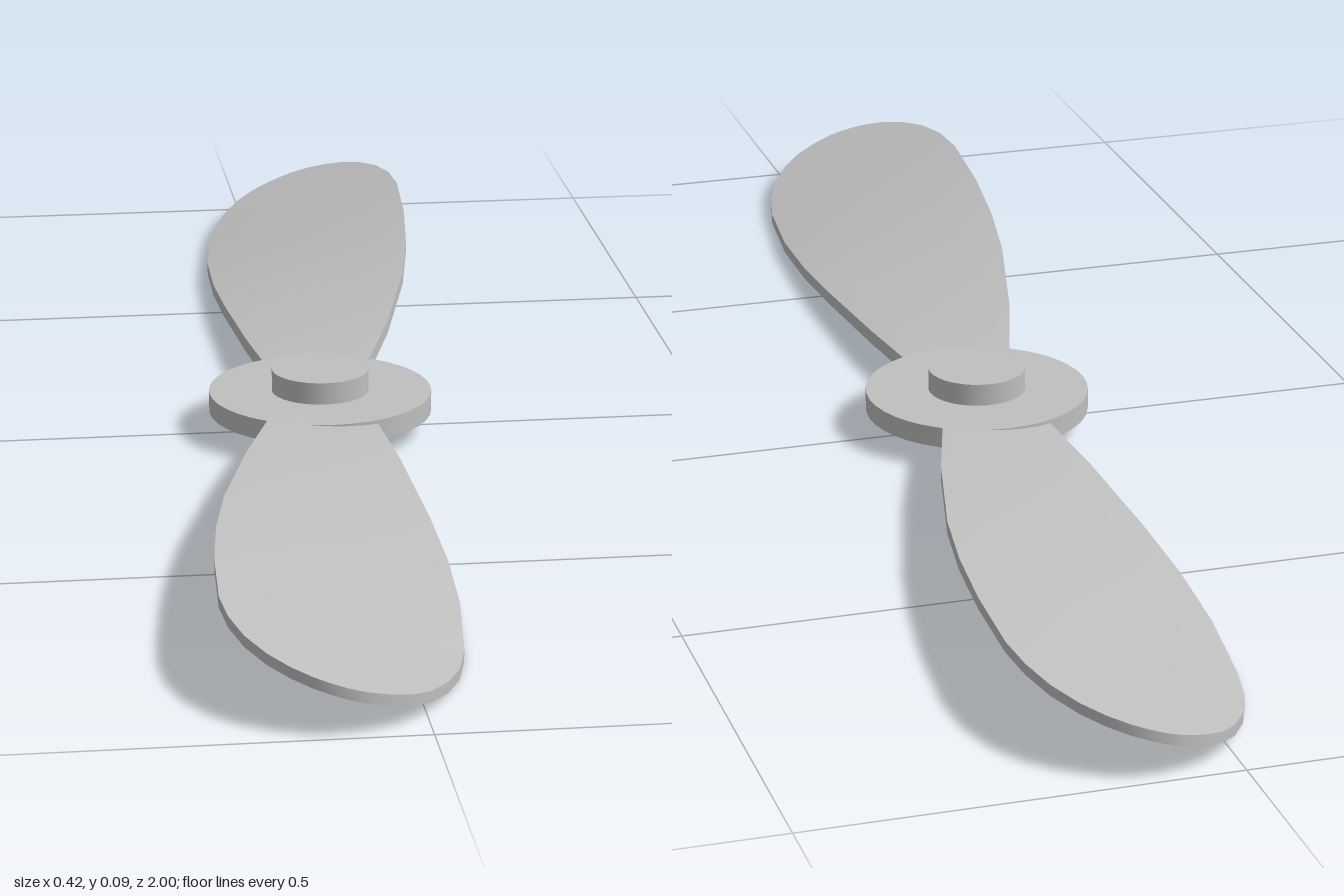
import * as THREE from 'three';
import { mergeGeometries } from 'three/addons/utils/BufferGeometryUtils.js';

// blade outline: z, left edge x, right edge x
const OUTLINE = [
  [0.08, -0.066, 0.05], [0.12, -0.08, 0.056], [0.25, -0.12, 0.068], [0.43, -0.165, 0.078],
  [0.55, -0.186, 0.081], [0.67, -0.2, 0.077], [0.8, -0.208, 0.062], [0.86, -0.204, 0.048],
  [0.91, -0.192, 0.028], [0.95, -0.172, 0.004], [0.975, -0.15, -0.02], [0.99, -0.128, -0.046],
  [0.997, -0.11, -0.065], [1.0, -0.094, -0.079],
];
const ACROSS = 6;

// a point on the blade; side is 1 for the upper face, -1 for the lower
function bladePoint(row, t, side) {
  const [z, left, right] = OUTLINE[row];
  const x = left + (right - left) * t;
  const twist = Math.min(0.29, 0.05 + 0.34 * (z - 0.12));
  const middle = z < 0.8 ? (left + right) / 2 : -0.073;
  const thickness = 0.02 - 0.007 * Math.min(1, z / 0.8);
  return [x, 0.043 + 0.004 * z - twist * (x - middle) + side * thickness / 2, z];
}

// grid of points joined into smooth quads
function surface(rows, flip) {
  const n = rows[0].length;
  const index = [];
  for (let i = 0; i < rows.length - 1; i++) {
    for (let j = 0; j < n - 1; j++) {
      const a = i * n + j, b = a + n, c = a + 1, d = b + 1;
      if (flip) index.push(a, c, b, c, d, b);
      else index.push(a, b, c, c, b, d);
    }
  }
  const g = new THREE.BufferGeometry();
  g.setAttribute('position', new THREE.Float32BufferAttribute(rows.flat(2), 3));
  g.setIndex(index);
  g.computeVertexNormals();
  return g;
}

function bladeGeometry() {
  const face = (side) => surface(OUTLINE.map((_, i) =>
    Array.from({ length: ACROSS + 1 }, (_, j) => bladePoint(i, j / ACROSS, side))), side < 0);
  // rim runs up the left edge, round the tip and down the right edge
  const rim = [];
  OUTLINE.forEach((_, i) => rim.push([bladePoint(i, 0, -1), bladePoint(i, 0, 1)]));
  for (let i = OUTLINE.length - 1; i >= 0; i--) rim.push([bladePoint(i, 1, -1), bladePoint(i, 1, 1)]);
  return mergeGeometries([face(1), face(-1), surface(rim, false)]);
}

export function createModel() {
  const group = new THREE.Group();
  const grey = new THREE.MeshStandardMaterial({ color: 0xbfbfbf });
  grey.name = 'light grey';

  const add = (name, geometry, y = 0) => {
    const mesh = new THREE.Mesh(geometry, grey);
    mesh.name = name;
    mesh.position.y = y;
    group.add(mesh);
    return mesh;
  };

  // two blades, half a turn apart
  const blade = bladeGeometry();
  add('frontBlade', blade);
  add('backBlade', blade).rotation.y = Math.PI;

  // hub disc and raised boss
  add('hubDisc', new THREE.CylinderGeometry(0.14, 0.14, 0.026, 40), 0.041);
  add('hubBoss', new THREE.CylinderGeometry(0.061, 0.061, 0.03, 32), 0.067);

  return group;
}
